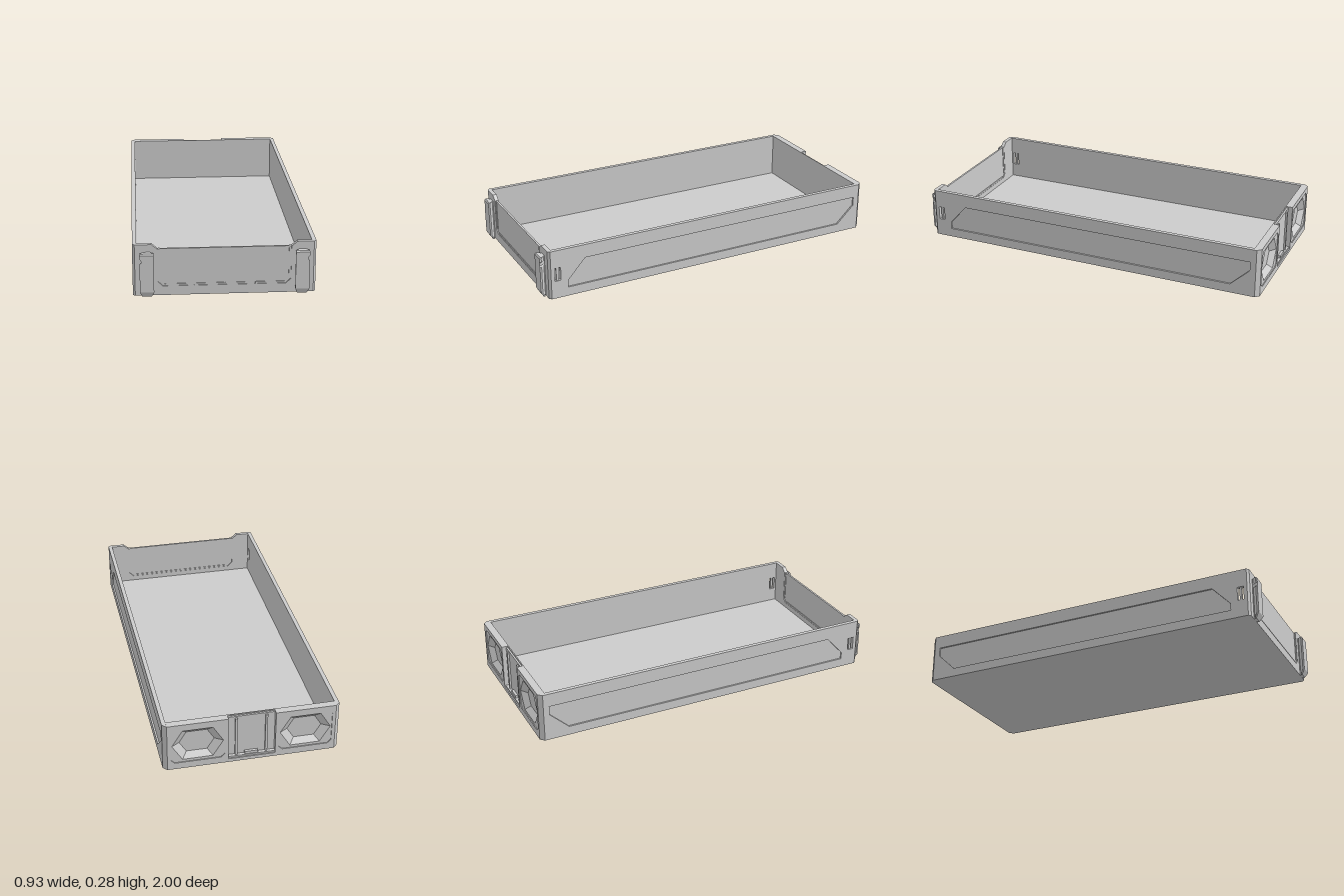
import * as THREE from 'three';

const GREY = new THREE.MeshStandardMaterial({ color: 0xcccccc, flatShading: true });
const GREY_DOUBLE = new THREE.MeshStandardMaterial({ color: 0xcccccc, flatShading: true, side: THREE.DoubleSide });
const v2 = (pts) => pts.map(([x, y]) => new THREE.Vector2(x, y));
const rect = (x0, y0, x1, y1) => [[x0, y0], [x1, y0], [x1, y1], [x0, y1]];
const mirrorX = (pts) => pts.concat(pts.map(([x, y]) => [-x, y]).reverse());

// Flat plate of a given outline between two depths
function slab(outline, holes, z0, z1) {
  const shape = new THREE.Shape(v2(outline));
  holes.forEach((h) => shape.holes.push(new THREE.Path(v2(h))));
  return new THREE.ExtrudeGeometry(shape, { depth: z1 - z0, bevelEnabled: false }).translate(0, 0, z0);
}

// Plate drawn in plan (x, z) between two heights
const planSlab = (outline, y0, y1) => slab(outline, [], -y1, -y0).rotateX(Math.PI / 2);

// Skin joining a row of equal-length rings, with optional end caps
function loft(rings, capStart, capEnd) {
  const out = [];
  const n = rings[0].length;
  for (let r = 0; r < rings.length - 1; r++) {
    for (let i = 0; i < n; i++) {
      const j = (i + 1) % n, a = rings[r], b = rings[r + 1];
      out.push(a[i], a[j], b[j], a[i], b[j], b[i]);
    }
  }
  const cap = (ring, flip) => {
    const c = [0, 1, 2].map((k) => ring.reduce((s, p) => s + p[k], 0) / n);
    ring.forEach((p, i) => {
      const q = ring[(i + 1) % n];
      out.push(c, flip ? q : p, flip ? p : q);
    });
  };
  if (capStart) cap(rings[0], true);
  if (capEnd) cap(rings[rings.length - 1], false);
  const g = new THREE.BufferGeometry();
  g.setAttribute('position', new THREE.Float32BufferAttribute(out.flat(), 3));
  g.computeVertexNormals();
  return g;
}

export function createModel() {
  const model = new THREE.Group();
  const add = (name, geometry, material = GREY) => {
    const mesh = new THREE.Mesh(geometry, material);
    mesh.name = name;
    model.add(mesh);
    return mesh;
  };
  const box = (name, x0, x1, y0, y1, z0, z1) => add(name,
    new THREE.BoxGeometry(x1 - x0, y1 - y0, z1 - z0).translate((x0 + x1) / 2, (y0 + y1) / 2, (z0 + z1) / 2));

  const W = 0.467, IN = 0.445, H = 0.275, F = 0.02;

  // Floor with chamfered corners
  add('floor', planSlab(mirrorX([[IN, -1], [W, -0.978], [W, 0.955], [0.455, 0.967]]), 0, F));

  // Side walls: plain inner skin, outer skin with a long recess, latch slot through both
  const slot = rect(0.9, 0.1, 0.935, 0.175);
  const recess = [[0.86, 0.05], [0.86, 0.09], [0.76, 0.2], [-0.945, 0.2], [-0.945, 0.15], [-0.84, 0.05]];
  const wall = rect(-0.96, F, 0.945, H);
  for (const s of [1, -1]) {
    const side = s > 0 ? 'right' : 'left';
    const layer = (holes, x0, x1) =>
      (s > 0 ? slab(wall, holes, -x1, -x0) : slab(wall, holes, x0, x1)).rotateY(-Math.PI / 2);
    add(side + 'WallInner', layer([slot], IN, 0.458));
    add(side + 'WallOuter', layer([slot, recess], 0.458, W));
    box(side + 'SlotBar', s * 0.456 - 0.006, s * 0.456 + 0.006, 0.1, 0.175, 0.911, 0.924);

    // Corner posts
    const flip = (pts) => pts.map(([x, z]) => [s * x, z]);
    add(side + 'BackCorner', planSlab(flip([[IN, -0.96], [IN, -1], [W, -0.978], [W, -0.96]]), F, H));
    add(side + 'FrontCorner', planSlab(flip([[IN, 0.945], [W, 0.945], [W, 0.955], [0.455, 0.967], [IN, 0.967]]), F, H));
  }

  // Front wall: lowered panel between two frames
  const frame = mirrorX([[IN, F], [IN, H], [0.37, H], [0.34, 0.25], [0.34, 0.075], [0.315, 0.05]]);
  add('frontFrameOuter', slab(frame, [], 0.961, 0.967));
  add('frontFrameInner', slab(frame, [], 0.945, 0.95));
  add('frontPanel', slab(mirrorX([[IN, F], [IN, H], [0.37, H], [0.34, 0.25]]), [], 0.95, 0.961));

  // Thin ribs around the front panel, on both faces
  for (const [z0, z1] of [[0.961, 0.964], [0.947, 0.95]]) {
    for (let i = 0; i < 4; i++) {
      const x = -0.232 + i * 0.1547;
      box('panelBottomRib', x - 0.075, x + 0.075, 0.05, 0.06, z0, z1);
    }
    for (const s of [1, -1]) {
      add('panelSideRib', slab([[0.34, 0.25], [0.328, 0.25], [0.328, 0.078], [0.34, 0.075]]
        .map(([x, y]) => [s * x, y]), [], z0, z1));
    }
  }

  // Dovetail hooks on the front: [height, outer half, inner half, front depth]
  const sections = [
    [0, 0.025, 0.025, 0.982], [0.03, 0.036, 0.036, 1], [0.18, 0.036, 0.036, 1], [0.187, 0.029, 0.036, 1],
    [0.203, 0.029, 0.036, 1], [0.21, 0.036, 0.036, 1], [0.228, 0.036, 0.036, 1], [0.235, 0.034, 0.034, 0.994],
  ];
  for (const s of [1, -1]) {
    const rings = sections.map(([y, o, i, z]) => {
      const ring = [[-i * 0.55, 0.965], [o * 0.55, 0.965], [o * 0.55, 0.972], [o, z - 0.009],
        [o, z], [-i, z], [-i, z - 0.009], [-i * 0.55, 0.972]]
        .map(([x, d]) => [s * (0.395 + x), y, d]);
      return s > 0 ? ring.reverse() : ring;
    });
    add('frontHook', loft(rings, true, true));
  }

  // Back wall: inner skin plus two outer layers around the open centre bay
  add('backWallInner', slab(rect(-IN, F, IN, H), [], -0.966, -0.96));
  const hex = [[-0.135, 0], [-0.08, -0.09], [0.08, -0.09], [0.135, 0], [0.08, 0.09], [-0.08, 0.09]];
  for (const s of [1, -1]) {
    const cx = s * 0.285, cy = 0.143;
    const ring = (k, z) => hex.map(([x, y]) => [cx + x * k, cy + y * k, z]);
    const block = rect(s * 0.125, F, s * IN, H);
    const rim = [[-0.142, -0.085], [-0.122, -0.105], [0.122, -0.105], [0.142, -0.085],
      [0.142, 0.085], [0.122, 0.105], [-0.122, 0.105], [-0.142, 0.085]].map(([x, y]) => [cx + x, cy + y]);
    add('backBlock', slab(block, [ring(1, 0).map(([x, y]) => [x, y])], -0.995, -0.966));
    add('backBlockRim', slab(block, [rim], -1, -0.995));
    // Tapered hexagonal grip pocket
    add('gripPocket', loft([ring(1, -0.995), ring(0.68, -0.967)], false, true), GREY_DOUBLE);
    // Ribs inside the centre bay
    box('bayRib', s * 0.08 - 0.006, s * 0.08 + 0.006, F, 0.26, -0.986, -0.966);
  }
  box('bayPanel', -0.125, 0.125, F, 0.268, -0.976, -0.966);
  box('baySill', -0.125, 0.125, F, 0.03, -0.994, -0.966);
  box('bayTab', -0.035, 0.035, 0.03, 0.045, -0.99, -0.966);

  return model;
}
